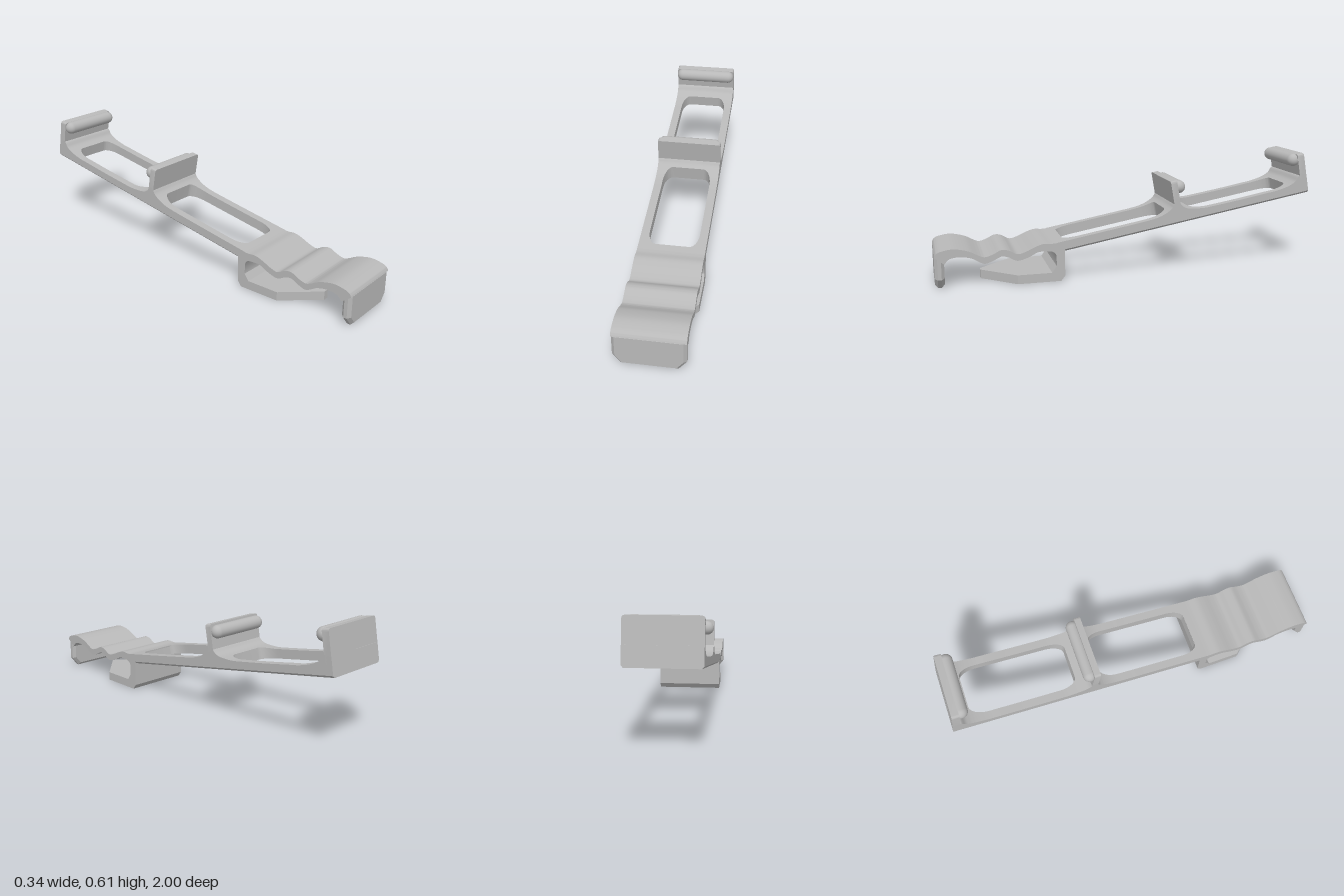
import * as THREE from 'three';
import { toCreasedNormals } from 'three/addons/utils/BufferGeometryUtils.js';

const HALF = 0.172;      // half width of the whole body
const TILT = 0.176;      // slope angle of the long arm

const grey = new THREE.MeshStandardMaterial({ color: 0xb8b8b8 });
grey.name = 'grey plastic';
const pale = new THREE.MeshStandardMaterial({ color: 0xf4f4f4 });
pale.name = 'pale hole';

const v2 = (list) => list.map(([a, b]) => new THREE.Vector2(a, b));
const smooth = (list, n) => new THREE.SplineCurve(v2(list)).getPoints(n);

function add(parent, name, geometry, material = grey) {
  const mesh = new THREE.Mesh(geometry, material);
  mesh.name = name;
  parent.add(mesh);
  return mesh;
}

// Extrudes a (z, y) side profile across the full width.
function sideExtrude(points) {
  const g = new THREE.ExtrudeGeometry(new THREE.Shape(points), { depth: 2 * HALF, bevelEnabled: false });
  g.rotateY(-Math.PI / 2).translate(HALF, 0, 0);
  return toCreasedNormals(g, 0.6);
}

// Underside height of the arm at z.
const armBase = (z) => 0.217 - 0.178 * z;

// Upper outline of the arm as (z, y), with fillets rising into both hooks.
const armTop = [
  [0.42, 0.196], [0.2, 0.235], [0, 0.271], [-0.1, 0.29], [-0.155, 0.306], [-0.2, 0.33],
  [-0.225, 0.354], [-0.237, 0.378], [-0.262, 0.372], [-0.278, 0.352], [-0.315, 0.34],
  [-0.39, 0.339], [-0.45, 0.347], [-0.61, 0.374], [-0.75, 0.4], [-0.81, 0.411],
  [-0.877, 0.432], [-0.92, 0.457], [-0.943, 0.488], [-0.985, 0.488],
];

// The same outline as thickness measured square to the underside.
const armThickness = smooth(armTop, 160).map(({ x: z, y }) => {
  const t = (y - armBase(z)) / 1.016;
  return [z - 0.174 * t, t];
});

function thicknessAt(s) {
  for (let i = 1; i < armThickness.length; i++) {
    const [s0, t0] = armThickness[i - 1], [s1, t1] = armThickness[i];
    if (s >= s1 && s0 > s1) return t0 + (t1 - t0) * THREE.MathUtils.clamp((s0 - s) / (s0 - s1), 0, 1);
  }
  return armThickness[armThickness.length - 1][1];
}

// Long arm: mirrored rails around two rounded windows, lofted along its length.
function armGeometry() {
  const sections = [];
  const spans = [[0.385, 0.345, 0], [0.345, -0.215, 1], [-0.215, -0.342, 0], [-0.342, -0.9, 1], [-0.9, -1, 0]];
  for (const [from, to, open] of spans) {
    const n = open ? 48 : 14;
    for (let i = 0; i <= n; i++) {
      const f = open ? (1 - Math.cos(Math.PI * i / n)) / 2 : i / n;
      const s = from + (to - from) * f;
      const d = Math.min(1, Math.min(from - s, s - to) / 0.09);
      const w = open ? 0.085 + 0.045 * Math.sqrt(Math.max(0, 1 - (1 - d) ** 2)) : 0;
      const t = thicknessAt(s);
      const ring = [[w, 0], [HALF - 0.01, 0], [HALF, 0.01], [HALF, t], [w, t]]
        .map(([x, h]) => [x, armBase(s) + 0.985 * h, s + 0.174 * h]);
      sections.push({ s, w, ring });
    }
  }
  const pos = [];
  const tri = (a, b, c) => {
    pos.push(...a, ...b, ...c);
    for (const [x, y, z] of [a, c, b]) pos.push(-x, y, z);
  };
  for (let i = 1; i < sections.length; i++) {
    const p = sections[i - 1], q = sections[i];
    for (let j = 0; j < 5; j++) {
      if (j === 4 ? p.w + q.w === 0 : p.s === q.s) continue;
      const k = (j + 1) % 5;
      tri(p.ring[j], q.ring[k], p.ring[k]);
      tri(p.ring[j], q.ring[j], q.ring[k]);
    }
  }
  const end = sections[sections.length - 1].ring;
  for (let j = 1; j < 4; j++) tri(end[0], end[j + 1], end[j]);
  const g = new THREE.BufferGeometry();
  g.setAttribute('position', new THREE.Float32BufferAttribute(pos, 3));
  return toCreasedNormals(g, 0.5);
}

// Upright hook plate with rounded top corners, square to the arm.
function hookPlate(height, depth) {
  const r = 0.014, s = new THREE.Shape();
  s.moveTo(-HALF, 0);
  s.lineTo(HALF, 0);
  s.lineTo(HALF, height - r);
  s.quadraticCurveTo(HALF, height, HALF - r, height);
  s.lineTo(-HALF + r, height);
  s.quadraticCurveTo(-HALF, height, -HALF, height - r);
  const g = new THREE.ExtrudeGeometry(s, { depth, bevelEnabled: false, curveSegments: 6 });
  g.translate(0, 0, -depth).rotateX(TILT);
  return toCreasedNormals(g, 0.6);
}

export function createModel() {
  const model = new THREE.Group();
  model.name = 'clipHolder';

  add(model, 'arm', armGeometry());

  // Wavy grip running from the front lip back and down into the rear block
  const gripTop = smooth([
    [1, 0.165], [0.99, 0.182], [0.965, 0.194], [0.905, 0.202], [0.835, 0.187], [0.785, 0.162], [0.755, 0.152],
    [0.715, 0.163], [0.675, 0.182], [0.637, 0.178], [0.594, 0.156], [0.55, 0.166], [0.503, 0.187],
    [0.46, 0.2], [0.41, 0.198], [0.353, 0.206],
  ], 90);
  const block = v2([[0.353, 0.027], [0.374, 0], [0.42, 0], [0.42, 0.046], [0.396, 0.08]]);
  const gripUnder = smooth([
    [0.396, 0.134], [0.406, 0.15], [0.428, 0.159], [0.487, 0.159], [0.54, 0.135], [0.594, 0.122],
    [0.637, 0.142], [0.674, 0.149], [0.715, 0.13], [0.754, 0.118], [0.785, 0.13], [0.818, 0.149],
    [0.87, 0.16], [0.925, 0.154], [0.952, 0.128],
  ], 80);
  add(model, 'grip', sideExtrude([...gripTop, ...block, ...gripUnder]));

  // Front lip with cut lower corners and a chamfered rim
  const b = 0.015, w = HALF - b;
  const lipShape = new THREE.Shape(v2([
    [-0.125, b], [0.125, b], [w, 0.055], [w, 0.164], [-w, 0.164], [-w, 0.055],
  ]));
  const lip = new THREE.ExtrudeGeometry(lipShape, {
    depth: 0.018, bevelEnabled: true, bevelSize: b, bevelThickness: b, bevelSegments: 1,
  });
  lip.translate(0, 0, 0.967);
  add(model, 'frontLip', toCreasedNormals(lip, 0.3));

  // Pointed foot reaching forward under the grip
  const footShape = new THREE.Shape(v2([
    [-HALF, 0.419], [HALF, 0.419], [HALF, 0.595], [0.015, 0.768], [-0.015, 0.768], [-HALF, 0.595],
  ]));
  const foot = new THREE.ExtrudeGeometry(footShape, { depth: 0.046, bevelEnabled: false });
  foot.rotateX(Math.PI / 2).translate(0, 0.046, 0);
  add(model, 'foot', foot);

  // Two hooks, each a plate with a rounded bead along its top
  const hooks = [
    { name: 'middleHook', base: [0.34, -0.235], height: 0.148, depth: 0.034, bead: [0.453, -0.263] },
    { name: 'endHook', base: [0.435, -0.954], height: 0.17, depth: 0.038, bead: [0.571, -0.915] },
  ];
  for (const h of hooks) {
    const hook = new THREE.Group();
    hook.name = h.name;
    add(hook, 'hookPlate', hookPlate(h.height, h.depth)).position.set(0, ...h.base);
    const bead = new THREE.CapsuleGeometry(0.034, 2 * (HALF - 0.034), 10, 28).rotateZ(Math.PI / 2);
    add(hook, 'hookBead', bead).position.set(0, ...h.bead);
    model.add(hook);
  }

  // Round holes on the underside of the arm
  for (const z of [-0.25, -0.945]) {
    for (const x of [-0.123, 0.123]) {
      const hole = add(model, 'undersideHole', new THREE.CircleGeometry(0.025, 24), pale);
      hole.rotation.x = Math.PI / 2 + TILT;
      hole.position.set(x, armBase(z) - 0.002, z);
    }
  }
  return model;
}
